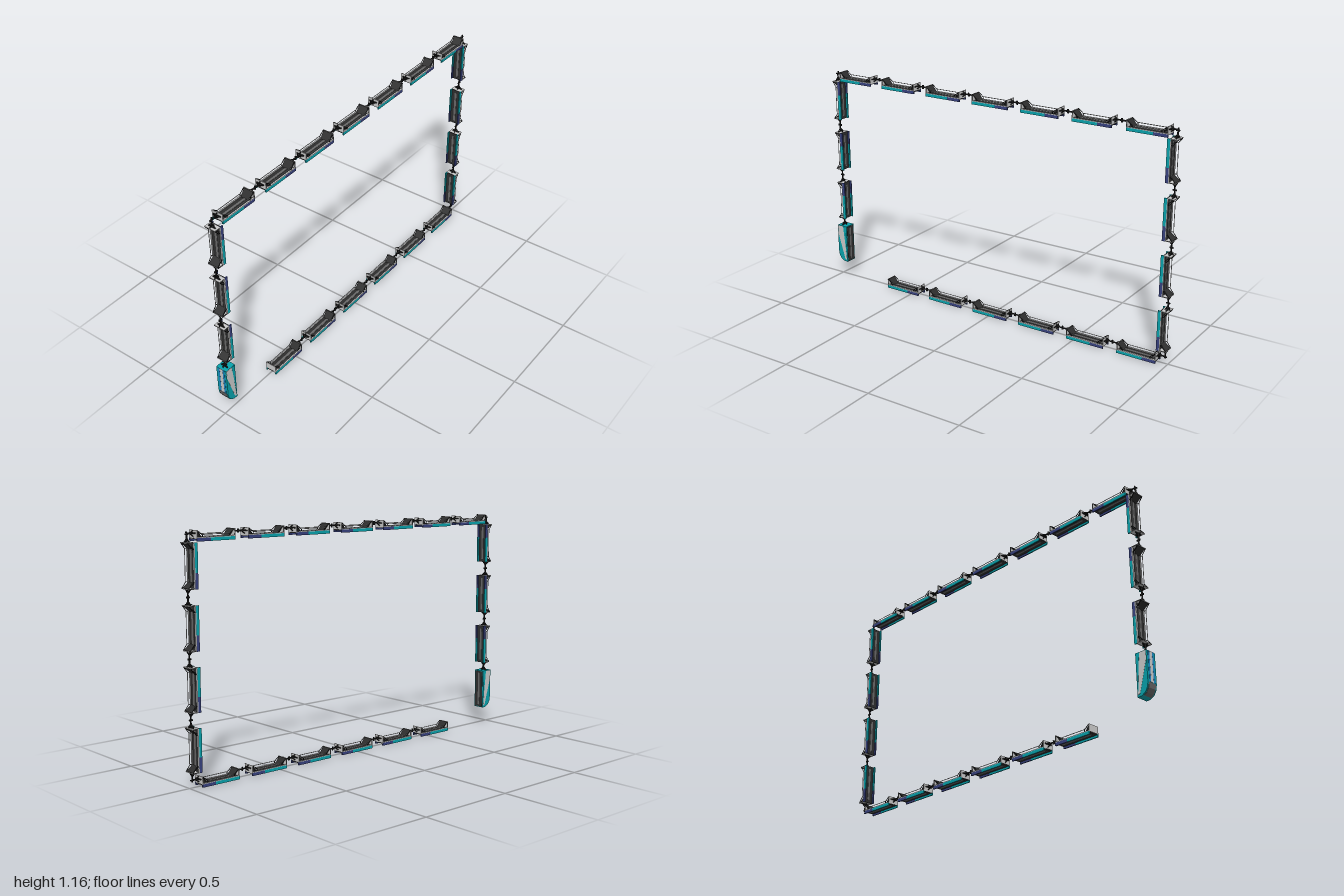
import * as THREE from 'three';

const paint = (color) => new THREE.MeshStandardMaterial({ color, side: THREE.DoubleSide });
const DARK = paint(0x2e2e2e), BLACK = paint(0x181818), MID = paint(0x6a6a6a), GREY = paint(0xcccccc);
const TEAL = paint(0x08a4ae), NAVY = paint(0x38427f), BLUE = paint(0x1a86c4);

function box(parent, name, mat, w, h, d, x, y, z) {
  const m = new THREE.Mesh(new THREE.BoxGeometry(w, h, d), mat);
  m.name = name;
  m.position.set(x, y, z);
  parent.add(m);
  return m;
}

// thin round bar between two points
function bar(parent, name, mat, a, b, r) {
  const p = new THREE.Vector3(...a), q = new THREE.Vector3(...b);
  const m = new THREE.Mesh(new THREE.CylinderGeometry(r, r, p.distanceTo(q), 6), mat);
  m.name = name;
  m.position.copy(p).add(q).multiplyScalar(0.5);
  m.quaternion.setFromUnitVectors(new THREE.Vector3(0, 1, 0), q.sub(p).normalize());
  parent.add(m);
}

// side outline (z, y) extruded across the width and centred on x
function sidePlate(parent, name, mat, pts, width, x = 0) {
  const shape = new THREE.Shape(pts.map(([z, y]) => new THREE.Vector2(-z, y)));
  const geo = new THREE.ExtrudeGeometry(shape, { depth: width, bevelEnabled: false, curveSegments: 8 });
  geo.translate(0, 0, -width / 2).rotateY(Math.PI / 2);
  const m = new THREE.Mesh(geo, mat);
  m.name = name;
  m.position.x = x;
  parent.add(m);
}

const HALF = 0.103, HOOK = 0.036;

// half of a coupling: four struts meeting at a drawbar with a pin
function coupler(parent, end, s) {
  const g = new THREE.Group();
  g.name = 'coupler';
  const neck = s * (end + 0.02);
  for (const x of [-0.02, 0.02]) bar(g, 'couplerStrut', BLACK, [x, HOOK, s * end], [0, HOOK, neck], 0.0025);
  for (const y of [0.022, 0.048]) bar(g, 'couplerStrut', BLACK, [0, y, s * end], [0, HOOK, neck], 0.0025);
  bar(g, 'drawbar', BLACK, [0, HOOK, s * end], [0, HOOK, s * (end + 0.038)], 0.004);
  bar(g, 'crossBar', BLACK, [-0.02, HOOK, s * (end + 0.002)], [0.02, HOOK, s * (end + 0.002)], 0.003);
  bar(g, 'couplerPin', BLACK, [0, HOOK - 0.009, s * (end + 0.036)], [0, HOOK + 0.009, s * (end + 0.036)], 0.004);
  parent.add(g);
}

// open wagon running along local z with y up
function wagon(openEnd) {
  const g = new THREE.Group();
  g.name = 'wagon';
  box(g, 'deck', DARK, 0.05, 0.006, HALF * 2, 0, 0.013, 0);
  box(g, 'deckStripe', MID, 0.012, 0.009, HALF * 1.7, 0, 0.013, 0);
  for (const x of [-0.0275, 0.0275]) {
    box(g, 'sideSkirt', TEAL, 0.006, 0.015, HALF * 1.3, x, 0.0075, HALF * 0.35);
    box(g, 'sideSkirtEnd', NAVY, 0.006, 0.015, HALF * 0.7, x, 0.0075, -HALF * 0.65);
    box(g, 'sideSill', GREY, 0.006, 0.004, HALF * 2, x, 0.017, 0);
    bar(g, 'sideRail', GREY, [x, 0.03, -0.075], [x, 0.03, 0.075], 0.0018);
  }
  for (const s of [-1, 1]) {
    box(g, 'endPlate', GREY, 0.06, 0.038, 0.003, 0, 0.031, s * (HALF - 0.0015));
    // sloping inner panel with a brace at each side
    sidePlate(g, 'slopePanel', DARK, [[s * 0.1, 0.049], [s * 0.098, 0.049], [s * 0.073, 0.016], [s * 0.076, 0.016]], 0.05);
    for (const x of [-0.028, 0.028]) {
      bar(g, 'endPost', BLACK, [x, 0.012, s * 0.101], [x, 0.05, s * 0.101], 0.002);
      bar(g, 'endBrace', BLACK, [x, 0.049, s * 0.1], [x, 0.028, s * 0.073], 0.0018);
      bar(g, 'railPost', BLACK, [x, 0.017, s * 0.073], [x, 0.03, s * 0.073], 0.0018);
    }
    if (s !== openEnd) coupler(g, HALF, s);
  }
  return g;
}

// streamlined engine, nose towards local +z
function engine() {
  const g = new THREE.Group();
  g.name = 'engine';
  const hull = [[-0.104, 0], [-0.104, 0.06], [0.045, 0.06], [0.07, 0.056], [0.09, 0.044], [0.102, 0.024], [0.104, 0]];
  sidePlate(g, 'hull', TEAL, hull, 0.06);
  for (const x of [-0.0302, 0.0302]) {
    sidePlate(g, 'diagonalBand', GREY, [[-0.102, 0.02], [-0.102, 0.058], [-0.06, 0.058], [0.088, 0.016], [0.094, 0.004]], 0.001, x);
    sidePlate(g, 'lowerSide', TEAL, [[-0.102, 0.002], [-0.102, 0.022], [0.09, 0.002]], 0.002, x);
  }
  box(g, 'roofCentre', GREY, 0.018, 0.002, 0.148, 0, 0.0603, -0.03);
  for (const x of [-0.0145, 0.0145]) box(g, 'roofStripe', BLUE, 0.01, 0.002, 0.148, x, 0.0603, -0.03);
  // curved windscreen laid over the nose
  sidePlate(g, 'windscreen', MID, [[0.046, 0.058], [0.046, 0.061], [0.0705, 0.057], [0.091, 0.045], [0.1, 0.03], [0.096, 0.028]], 0.046);
  box(g, 'underside', DARK, 0.05, 0.003, 0.2, 0, 0, 0);
  box(g, 'undersideStripe', MID, 0.012, 0.004, 0.18, 0, 0, 0);
  coupler(g, 0.104, -1);
  return g;
}

export function createModel() {
  const model = new THREE.Group();
  model.name = 'train';
  const place = (part, y, z, tilt) => {
    part.position.set(0, y, z);
    part.rotation.x = tilt;
    model.add(part);
  };

  // bottom row, its first wagon ending the train
  for (let i = 0; i < 6; i++) place(wagon(i === 0 ? 1 : 0), 0, 0.555 - i * 0.28, 0);
  // top row
  for (let i = 0; i < 7; i++) place(wagon(0), 1.111, 0.833 - i * 0.28, 0);
  // back column, decks facing outwards
  for (let i = 0; i < 4; i++) place(wagon(0), 0.174 + i * 0.277, -0.948, -Math.PI / 2);
  // front column, decks facing outwards, with the engine hanging lowest
  for (let i = 0; i < 3; i++) place(wagon(0), 1.004 - i * 0.281, 0.938, Math.PI / 2);
  place(engine(), 0.19, 0.939, Math.PI / 2);
  return model;
}
